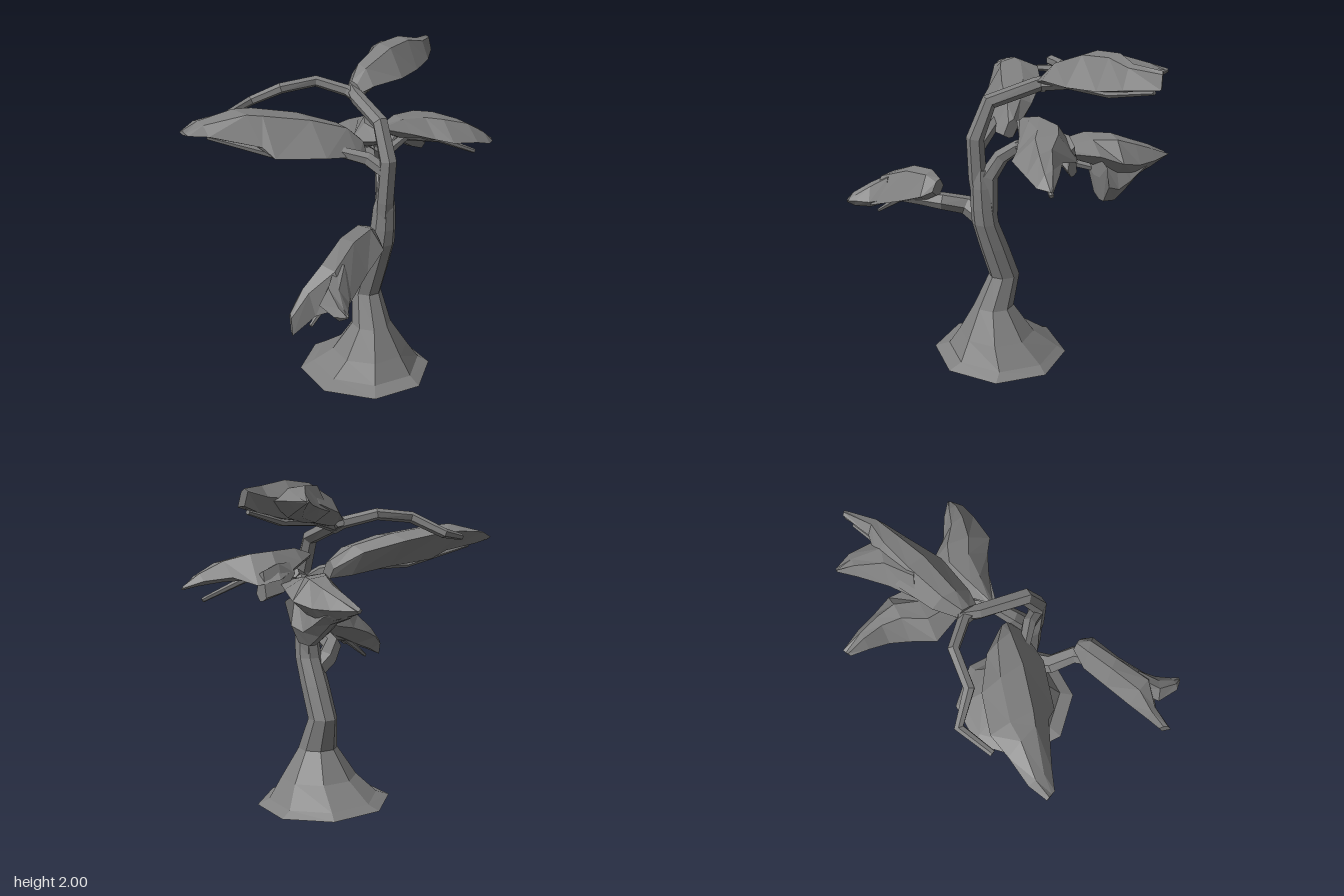
import * as THREE from 'three';

const bark = new THREE.MeshStandardMaterial({ color: 0x808080, flatShading: true, side: THREE.DoubleSide });
bark.name = 'grey';
const V = (x, y, z) => new THREE.Vector3(x, y, z);

// Skins a list of equal-sized rings, with optional end caps, as flat facets facing outward
function loft(name, rings, capStart = true, capEnd = true) {
  const tris = [], n = rings[0].length;
  for (let i = 0; i + 1 < rings.length; i++) {
    for (let j = 0; j < n; j++) {
      const k = (j + 1) % n, a = rings[i], b = rings[i + 1];
      tris.push([a[j], a[k], b[k]], [a[j], b[k], b[j]]);
    }
  }
  const first = rings[0], last = rings[rings.length - 1];
  for (let j = 1; j + 1 < n; j++) {
    if (capStart) tris.push([first[0], first[j + 1], first[j]]);
    if (capEnd) tris.push([last[0], last[j], last[j + 1]]);
  }
  // Signed volume about the first point tells which way the corners run
  const o = first[0];
  let volume = 0;
  for (const [a, b, c] of tris) {
    volume += a.clone().sub(o).dot(b.clone().sub(o).cross(c.clone().sub(o)));
  }
  const points = tris.flatMap(([a, b, c]) => (volume < 0 ? [a, c, b] : [a, b, c]));
  const geometry = new THREE.BufferGeometry().setFromPoints(points);
  geometry.computeVertexNormals();
  const mesh = new THREE.Mesh(geometry, bark);
  mesh.name = name;
  return mesh;
}

// Bent limb through points [x, y, z, radius]
function limb(name, path, sides = 6) {
  const pts = path.map(p => V(p[0], p[1], p[2]));
  const q = new THREE.Quaternion();
  let prev = V(0, 1, 0);
  const rings = pts.map((p, i) => {
    const before = pts[Math.max(i - 1, 0)], after = pts[Math.min(i + 1, pts.length - 1)];
    const into = p.clone().sub(before).normalize(), out = after.clone().sub(p).normalize();
    const t = into.add(out).normalize();
    q.premultiply(new THREE.Quaternion().setFromUnitVectors(prev, t));
    prev = t;
    return Array.from({ length: sides }, (_, j) => {
      const a = (j / sides) * Math.PI * 2;
      return V(Math.cos(a), 0, Math.sin(a)).multiplyScalar(path[i][3]).applyQuaternion(q).add(p);
    });
  });
  return loft(name, rings);
}

// Foliage pad: each row is [ax, ay, az, bx, by, bz, top, bottom], two rim points and the heights between
function pad(name, rows) {
  return loft(name, rows.map(([ax, ay, az, bx, by, bz, top, bottom]) => {
    const a = V(ax, ay, az), b = V(bx, by, bz);
    const at = (t, y) => { const p = a.clone().lerp(b, t); p.y = y; return p; };
    return [a, at(0.3, top), at(0.65, top - 0.015), b, at(0.65, bottom), at(0.35, bottom)];
  }));
}

export function createModel() {
  const tree = new THREE.Group();
  tree.name = 'tree';

  // Flared trunk, open underneath: [x min, x max, z min, z max, y]
  const trunk = [
    [-0.385, 0.42, -0.335, 0.467, 0.018], [-0.29, 0.36, -0.28, 0.385, 0.055],
    [-0.2, 0.265, -0.125, 0.32, 0.17], [-0.09, 0.148, -0.005, 0.23, 0.35],
    [-0.045, 0.125, -0.045, 0.14, 0.55], [-0.04, 0.13, 0.03, 0.205, 0.75],
    [-0.03, 0.13, 0.1, 0.255, 0.92], [-0.02, 0.125, 0.115, 0.264, 1.02],
    [-0.01, 0.118, 0.13, 0.265, 1.15], [0.02, 0.1, 0.16, 0.25, 1.26],
  ].map(([x0, x1, z0, z1, y], i) => Array.from({ length: 8 }, (_, j) => {
    const a = ((j + 0.65) / 8) * Math.PI * 2, s = 0.52;
    const x = (x0 + x1) / 2 + Math.cos(a) * (x1 - x0) * s;
    return V(x, y - (i < 2 ? x * 0.035 : 0), (z0 + z1) / 2 + Math.sin(a) * (z1 - z0) * s);
  }));
  tree.add(loft('trunk', trunk, false, true));

  // Two stems above the fork, and the branches
  tree.add(
    limb('mainStem', [[0.045, 0.95, 0.19, 0.05], [0.04, 1.2, 0.22, 0.055], [0.047, 1.45, 0.237, 0.053],
      [0.055, 1.66, 0.15, 0.048], [0.1, 1.74, -0.13, 0.045], [0.14, 1.77, -0.24, 0.035]]),
    limb('sideStem', [[0.07, 0.92, 0.16, 0.05], [0.078, 1.22, 0.165, 0.056], [0.115, 1.34, 0.1, 0.048],
      [0.2, 1.42, 0.03, 0.04], [0.3, 1.47, -0.02, 0.032]]),
    limb('rightBranch', [[0.2, 1.42, 0.03, 0.035], [0.36, 1.485, 0.02, 0.028], [0.58, 1.44, 0.08, 0.022],
      [0.82, 1.33, 0.15, 0.014]]),
    limb('backRightBranch', [[0.2, 1.42, 0.03, 0.035], [0.29, 1.44, -0.08, 0.034], [0.305, 1.36, -0.13, 0.03],
      [0.42, 1.3, -0.34, 0.022], [0.46, 1.3, -0.6, 0.012]]),
    limb('topLeftBranch', [[0.12, 1.73, -0.15, 0.04], [0.1, 1.76, -0.22, 0.036], [-0.03, 1.81, -0.37, 0.034],
      [-0.25, 1.79, -0.42, 0.033], [-0.37, 1.7, -0.57, 0.029], [-0.58, 1.67, -0.5, 0.02]]),
    limb('topRightBranch', [[0.1, 1.74, -0.16, 0.04], [0.3, 1.775, -0.24, 0.03], [0.6, 1.775, -0.32, 0.022],
      [0.88, 1.835, -0.42, 0.013]]),
    limb('leftBranch', [[0.04, 1.38, 0.23, 0.045], [-0.02, 1.45, 0.13, 0.042], [-0.15, 1.49, 0, 0.034],
      [-0.48, 1.495, -0.14, 0.025], [-0.8, 1.61, -0.35, 0.014]]),
    limb('lowBranch', [[0.04, 0.82, 0.14, 0.06], [-0.06, 0.9, 0.14, 0.065], [-0.16, 0.965, 0.21, 0.06],
      [-0.2, 1, 0.35, 0.055], [-0.3, 1, 0.44, 0.045], [-0.5, 0.95, 0.51, 0.026], [-0.75, 0.79, 0.58, 0.012]]),
  );

  // Foliage pads, each running from the branch outward
  tree.add(
    pad('topRightFoliage', [
      [0.12, 1.78, -0.25, 0.13, 1.765, -0.12, 1.82, 1.75],
      [0.22, 1.82, -0.34, 0.21, 1.79, -0.11, 1.9, 1.745],
      [0.42, 1.87, -0.43, 0.45, 1.8, -0.13, 1.985, 1.775],
      [0.6, 1.9, -0.44, 0.64, 1.81, -0.21, 2.0, 1.795],
      [0.74, 1.91, -0.4, 0.79, 1.84, -0.28, 1.97, 1.825],
      [0.9, 1.94, -0.455, 0.94, 1.86, -0.42, 1.955, 1.865],
    ]),
    pad('topRightFoliageSpike', [
      [0.32, 1.83, -0.38, 0.5, 1.87, -0.25, 1.97, 1.77],
      [0.45, 1.85, -0.46, 0.7, 1.89, -0.36, 1.97, 1.8],
      [0.58, 1.87, -0.57, 0.715, 1.89, -0.54, 1.93, 1.84],
      [0.66, 1.89, -0.65, 0.68, 1.89, -0.645, 1.9, 1.88],
    ]),
    pad('leftFoliage', [
      [0.03, 1.48, -0.05, 0.04, 1.44, 0.05, 1.53, 1.42],
      [-0.08, 1.58, -0.2, -0.04, 1.45, 0.075, 1.62, 1.44],
      [-0.27, 1.65, -0.36, -0.26, 1.48, 0.06, 1.69, 1.49],
      [-0.5, 1.7, -0.46, -0.53, 1.5, -0.06, 1.735, 1.53],
      [-0.65, 1.7, -0.45, -0.57, 1.56, -0.13, 1.745, 1.58],
      [-0.83, 1.69, -0.45, -0.82, 1.63, -0.29, 1.7, 1.62],
      [-0.94, 1.655, -0.41, -0.92, 1.64, -0.345, 1.665, 1.64],
    ]),
    pad('rightFoliage', [
      [0.18, 1.57, -0.02, 0.17, 1.565, 0.03, 1.58, 1.55],
      [0.3, 1.54, -0.1, 0.34, 1.52, 0.1, 1.615, 1.48],
      [0.5, 1.45, -0.17, 0.47, 1.48, 0.18, 1.605, 1.45],
      [0.62, 1.42, -0.12, 0.55, 1.46, 0.25, 1.59, 1.44],
      [0.7, 1.46, 0.02, 0.74, 1.43, 0.26, 1.55, 1.43],
      [0.83, 1.44, 0.11, 0.85, 1.4, 0.255, 1.48, 1.41],
      [0.92, 1.4, 0.19, 0.92, 1.395, 0.21, 1.41, 1.39],
    ]),
    pad('rightFoliageDroop', [
      [0.38, 1.48, -0.14, 0.42, 1.5, -0.02, 1.54, 1.42],
      [0.48, 1.38, -0.17, 0.52, 1.42, -0.05, 1.54, 1.36],
      [0.58, 1.35, -0.14, 0.6, 1.37, -0.07, 1.5, 1.33],
    ]),
    pad('backRightFoliage', [
      [0.26, 1.42, -0.16, 0.46, 1.43, -0.1, 1.46, 1.4],
      [0.21, 1.38, -0.35, 0.57, 1.41, -0.3, 1.49, 1.33],
      [0.32, 1.32, -0.47, 0.61, 1.36, -0.43, 1.49, 1.27],
      [0.39, 1.29, -0.57, 0.58, 1.33, -0.56, 1.45, 1.25],
      [0.415, 1.32, -0.69, 0.55, 1.33, -0.68, 1.405, 1.28],
      [0.435, 1.335, -0.8, 0.49, 1.335, -0.82, 1.345, 1.32],
    ]),
    pad('hangingFoliage', [
      [0.38, 1.33, -0.32, 0.59, 1.35, -0.33, 1.4, 1.27],
      [0.42, 1.15, -0.35, 0.57, 1.22, -0.36, 1.36, 1.12],
      [0.42, 1.14, -0.44, 0.55, 1.19, -0.44, 1.38, 1.11],
      [0.41, 1.2, -0.52, 0.55, 1.23, -0.52, 1.38, 1.17],
      [0.41, 1.28, -0.61, 0.54, 1.29, -0.61, 1.38, 1.245],
      [0.44, 1.32, -0.74, 0.5, 1.32, -0.74, 1.35, 1.29],
    ]),
    pad('lowFoliage', [
      [-0.2, 1.1, 0.34, -0.165, 1.08, 0.43, 1.15, 1.05],
      [-0.32, 1.06, 0.33, -0.19, 1.05, 0.5, 1.185, 1.01],
      [-0.48, 1.03, 0.38, -0.36, 0.98, 0.57, 1.17, 0.96],
      [-0.65, 0.98, 0.44, -0.58, 0.9, 0.69, 1.09, 0.89],
      [-0.77, 0.93, 0.49, -0.73, 0.85, 0.6, 0.99, 0.84],
      [-0.85, 0.87, 0.53, -0.885, 0.79, 0.61, 0.89, 0.79],
    ]),
    pad('lowFoliageSpike', [
      [-0.58, 0.96, 0.52, -0.5, 0.95, 0.62, 1.1, 0.92],
      [-0.72, 0.92, 0.62, -0.58, 0.92, 0.7, 1.02, 0.87],
      [-0.725, 0.91, 0.76, -0.64, 0.92, 0.77, 0.96, 0.88],
      [-0.69, 0.92, 0.81, -0.67, 0.92, 0.815, 0.925, 0.91],
    ]),
  );
  return tree;
}
